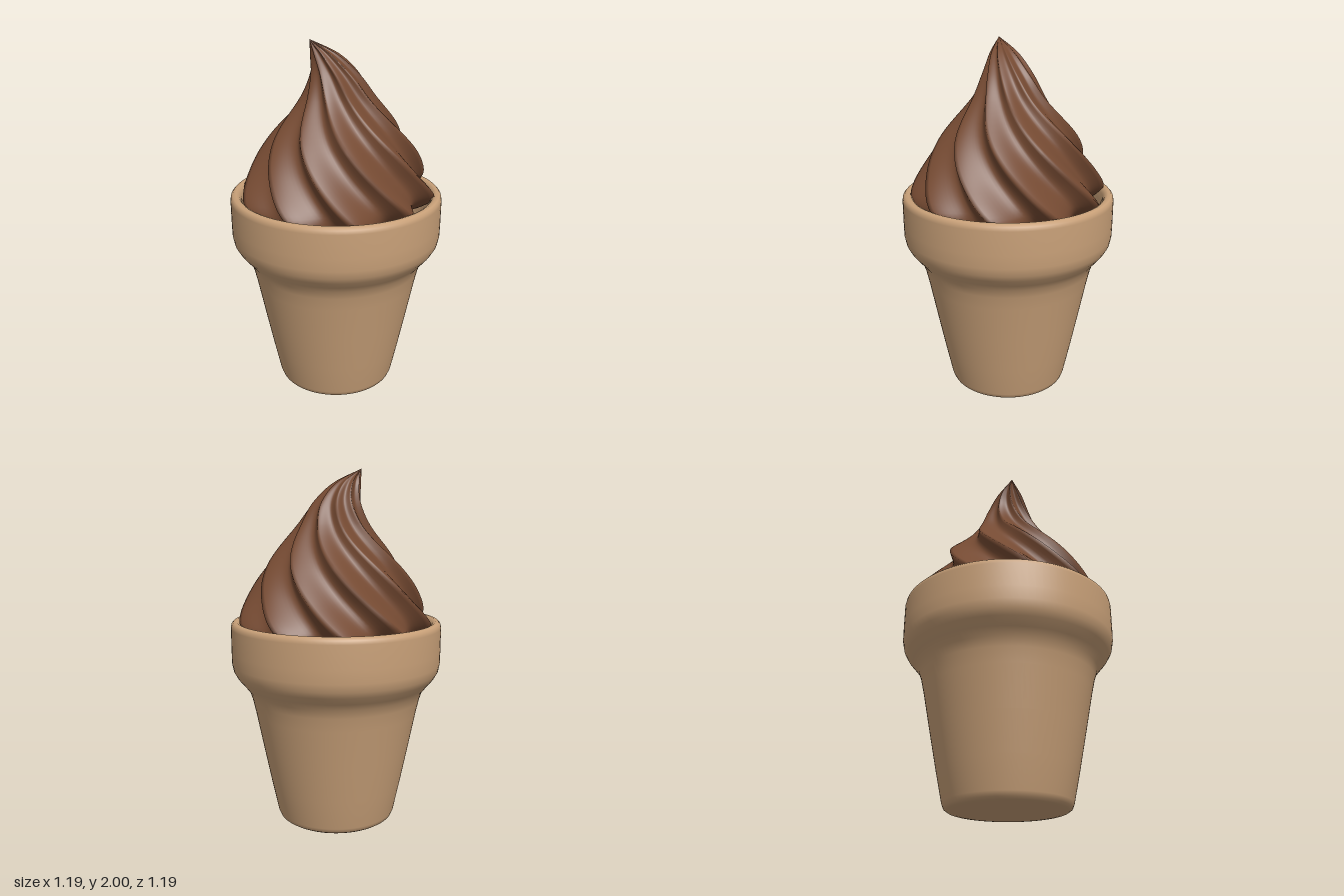
import * as THREE from 'three';

const LOBES = 10, STEPS = 14, ROWS = 72;

// Groove depth across one lobe: crisp ridge at t = 0, quick drop, rounded rise
function groove(t) {
  if (t < 0.38) return Math.sin((Math.PI / 2) * (t / 0.38));
  const u = (t - 0.38) / 0.62;
  return 0.5 * Math.cos((Math.PI / 2) * u) + 0.25 * (1 + Math.cos(Math.PI * u));
}

// Twisted, fluted swirl whose tip leans sideways
function swirlGeometry() {
  // radius, height, sideways lean
  const spine = new THREE.CatmullRomCurve3([
    [0.02, 1.0, 0], [0.4, 1.02, 0], [0.52, 1.09, 0], [0.55, 1.16, 0.005],
    [0.48, 1.32, 0.01], [0.385, 1.475, 0.015], [0.208, 1.69, 0.015],
    [0.136, 1.82, -0.007], [0.076, 1.925, -0.065], [0.001, 2.0, -0.145],
  ].map(p => new THREE.Vector3(...p)));
  const around = LOBES * STEPS, pos = [], index = [];
  for (let i = 0; i <= ROWS; i++) {
    const { x: radius, y, z: lean } = spine.getPoint(i / ROWS);
    const twist = THREE.MathUtils.degToRad(32 + 115 * (y - 1.17));
    for (let j = 0; j < around; j++) {
      const r = Math.max(radius, 0.001) * (1 - 0.18 * groove((j % STEPS) / STEPS));
      const a = twist + (j / around) * Math.PI * 2;
      pos.push(lean + r * Math.cos(a), y, r * Math.sin(a));
      if (i === ROWS) continue;
      const k = (j + 1) % around;
      const p = i * around + j, q = i * around + k;
      index.push(p, p + around, q, q, p + around, q + around);
    }
  }
  const g = new THREE.BufferGeometry();
  g.setAttribute('position', new THREE.Float32BufferAttribute(pos, 3));
  g.setIndex(index);
  g.computeVertexNormals();
  return g;
}

// Hollow cup: tapered body, flared collar, rounded rim and inner bowl
function cupGeometry() {
  const profile = [
    [0, 0], [0.29, 0], [0.318, 0.004], [0.334, 0.015], [0.344, 0.04],
    [0.38, 0.21], [0.422, 0.42], [0.465, 0.64], [0.483, 0.72], [0.5, 0.77],
    [0.53, 0.808], [0.565, 0.85], [0.585, 0.885], [0.594, 0.93],
    [0.595, 1.0], [0.595, 1.13], [0.591, 1.15], [0.58, 1.162],
    [0.562, 1.165], [0.547, 1.158], [0.535, 1.14], [0.525, 1.1],
    [0.505, 0.98], [0.47, 0.9], [0.42, 0.87], [0, 0.87],
  ].map(p => new THREE.Vector2(...p));
  return new THREE.LatheGeometry(profile, 96);
}

export function createModel() {
  const group = new THREE.Group();
  group.name = 'iceCreamCup';
  const add = (name, geometry, color) => {
    const mesh = new THREE.Mesh(geometry, new THREE.MeshStandardMaterial({ color }));
    mesh.name = name;
    group.add(mesh);
  };
  add('waferCup', cupGeometry(), 0xc8a078);
  add('iceCreamSwirl', swirlGeometry(), 0x754a32);
  return group;
}
